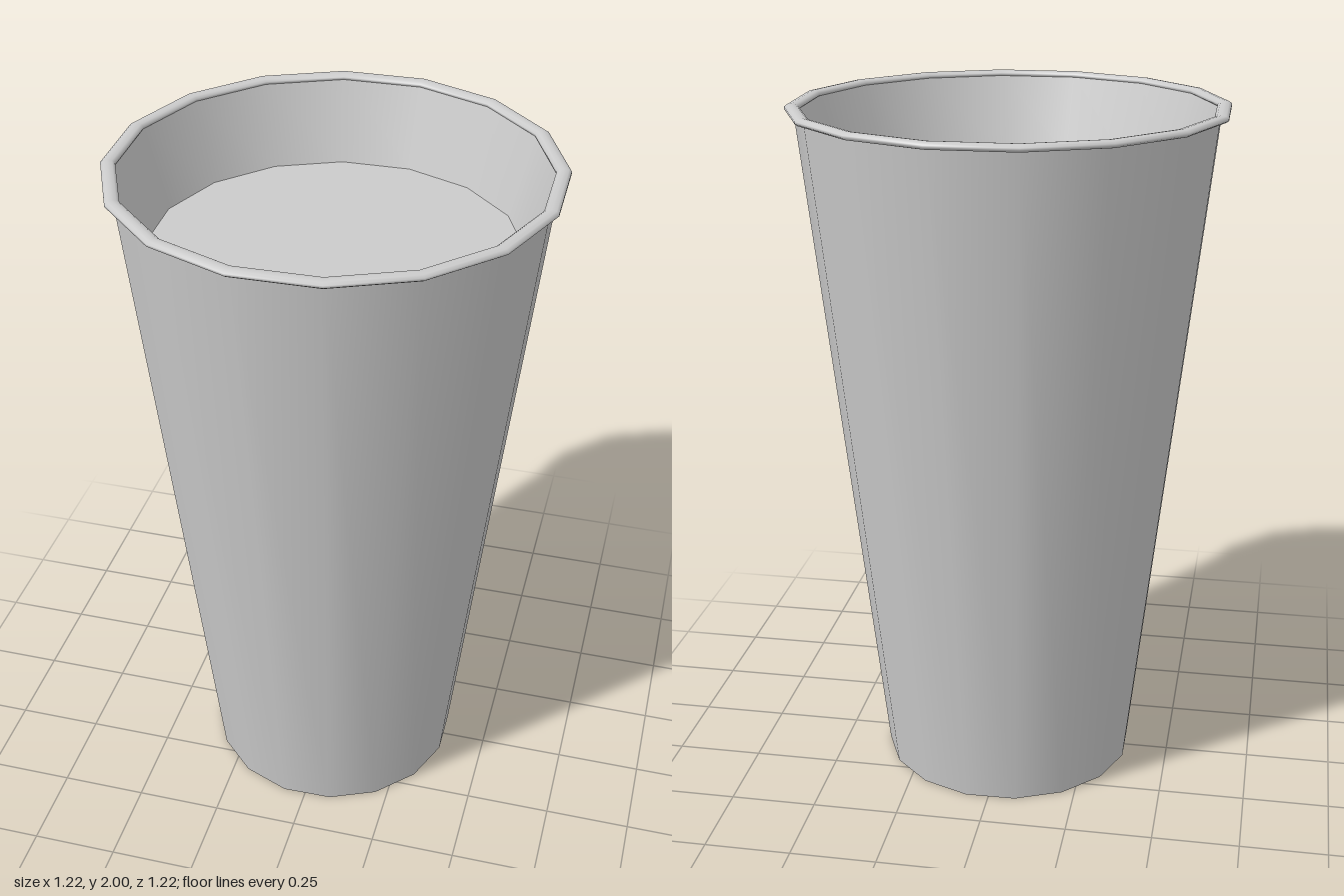
import * as THREE from 'three';

const SIDES = 16;
const TURN = THREE.MathUtils.degToRad(12.2); // rotation of the 16-sided ring

export function createModel() {
  const cup = new THREE.Group();
  cup.name = 'cup';
  const material = new THREE.MeshStandardMaterial({ color: 0xcccccc });

  // Revolve a profile of [radius, height] pairs; rising profiles face outward
  const addRing = (name, profile) => {
    const points = profile.map(([r, y]) => new THREE.Vector2(r, y));
    const mesh = new THREE.Mesh(new THREE.LatheGeometry(points, SIDES, TURN), material);
    mesh.name = name;
    cup.add(mesh);
  };

  // Tapered cup body
  addRing('base', [[0, 0], [0.375, 0]]);
  addRing('outerWall', [[0.375, 0], [0.597, 1.985]]);
  addRing('innerWall', [[0.585, 1.99], [0.516, 1.755]]);

  // Drink surface inside the cup
  addRing('drink', [[0.516, 1.755], [0, 1.755]]);

  // Flattened rolled rim
  const rim = [];
  for (let i = 0; i <= 10; i++) {
    const a = (i / 10) * Math.PI * 2 - Math.PI / 2;
    rim.push([0.601 + 0.021 * Math.cos(a), 1.989 + 0.011 * Math.sin(a)]);
  }
  addRing('rim', rim);

  return cup;
}
